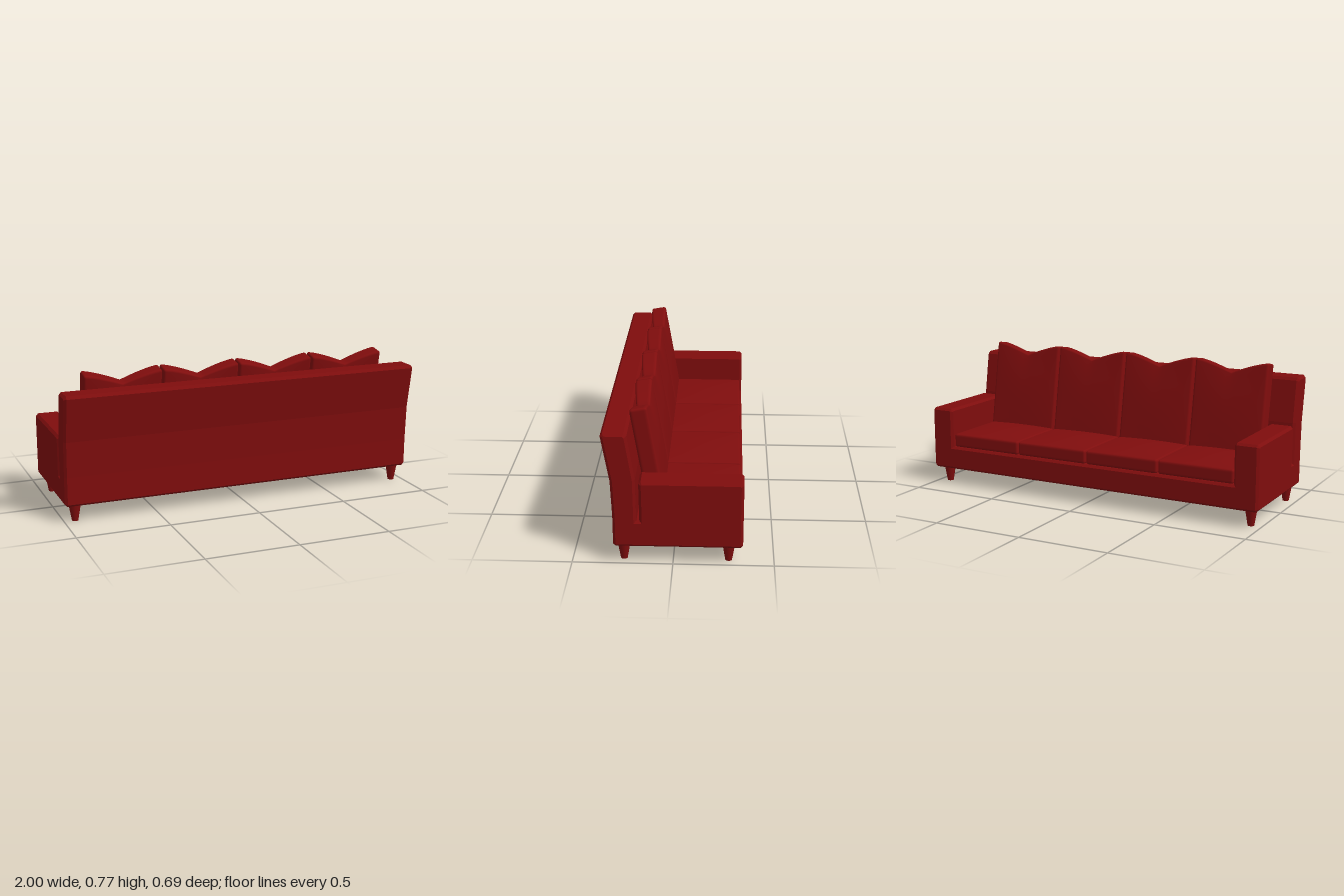
import * as THREE from 'three';
import { mergeVertices } from 'three/addons/utils/BufferGeometryUtils.js';

const fabric = new THREE.MeshStandardMaterial({ color: 0x7f0d0d });

// Side outlines as [z, y] points
const backRear = [[0.283, 0.09], [0.295, 0.102], [0.296, 0.25], [0.305, 0.44], [0.347, 0.675],
  [0.335, 0.69], [0.233, 0.69], [0.22, 0.675], [0.183, 0.45]];
const frontFoot = [[-0.345, 0.102], [-0.333, 0.09]];
const frameOutline = [...backRear, [0.178, 0.22], [-0.333, 0.22], [-0.345, 0.208], ...frontFoot];
const sideOutline = [...backRear, [0.179, 0.23], [0.164, 0.23], [0.167, 0.428], [0.155, 0.44],
  [-0.333, 0.44], [-0.345, 0.428], ...frontFoot];

// Extrude a side outline across x, from x0 to x1, with optional bevelled ends
function extrudeAcross(points, x0, x1, bevel = 0) {
  const shape = new THREE.Shape(points.map(([z, y]) => new THREE.Vector2(z, y)));
  const geo = new THREE.ExtrudeGeometry(shape, {
    depth: x1 - x0 - 2 * bevel, bevelEnabled: bevel > 0, bevelThickness: bevel,
    bevelSize: bevel, bevelOffset: -bevel, bevelSegments: 1,
  });
  geo.rotateY(-Math.PI / 2);
  geo.translate(x1 - bevel, 0, 0);
  return geo;
}

// Rounded, finely divided box standing on y = 0, shaped further by a rule
function softBox(w, h, d, r, n, deform) {
  let geo = new THREE.BoxGeometry(1, 1, 1, n, n, n);
  geo.deleteAttribute('uv');
  geo.deleteAttribute('normal');
  geo = mergeVertices(geo);
  const pos = geo.attributes.position;
  const p = new THREE.Vector3(), core = new THREE.Vector3();
  // the outer three rows of each face fall inside the rounded edge
  const spread = (t, size) => {
    const i = Math.round((t + 0.5) * n), k = Math.min(i, n - i);
    const half = size / 2;
    if (k <= 3) return Math.sign(t) * (half - r * [0, 0.25, 0.6, 1][k]);
    return ((i - n / 2) / (n / 2 - 3)) * (half - r);
  };
  for (let i = 0; i < pos.count; i++) {
    p.set(spread(pos.getX(i), w), spread(pos.getY(i), h), spread(pos.getZ(i), d));
    core.set(
      THREE.MathUtils.clamp(p.x, r - w / 2, w / 2 - r),
      THREE.MathUtils.clamp(p.y, r - h / 2, h / 2 - r),
      THREE.MathUtils.clamp(p.z, r - d / 2, d / 2 - r));
    p.sub(core);
    if (p.lengthSq() > 0) p.setLength(r);
    p.add(core);
    p.y += h / 2;
    deform(p);
    pos.setXYZ(i, p.x, p.y, p.z);
  }
  geo.computeVertexNormals();
  return geo;
}

export function createModel() {
  const sofa = new THREE.Group();
  sofa.name = 'sofa';
  const add = (name, geo, x = 0, y = 0, z = 0) => {
    const mesh = new THREE.Mesh(geo, fabric);
    mesh.name = name;
    mesh.position.set(x, y, z);
    sofa.add(mesh);
    return mesh;
  };

  // Base and backrest in one piece, then the slotted side panels with the arms
  add('frame', extrudeAcross(frameOutline, -0.987, 0.987));
  add('leftArm', extrudeAcross(sideOutline, 0.866, 1, 0.013));
  add('rightArm', extrudeAcross(sideOutline, -1, -0.866, 0.013));

  // Seat cushion with a slight crown
  const cw = 0.424, seatDepth = 0.44;
  const seatGeo = softBox(cw, 0.075, seatDepth, 0.012, 16, (p) => {
    const crown = (1 - (2 * p.x / cw) ** 2) * (1 - (2 * p.z / seatDepth) ** 2);
    if (p.y > 0.04) p.y += 0.012 * crown;
  });

  // Back cushion with a V-shaped dent in the top edge and a softly bulging face
  const bh = 0.5;
  const backGeo = softBox(cw, bh, 0.088, 0.014, 20, (p) => {
    const u = Math.min(1, Math.abs(2 * p.x / cw)), t = p.y / bh;
    const dent = Math.pow(1 - u, 1.35);
    p.z += Math.sign(p.z) * 0.008 * (1 - u * u) * Math.sin(Math.PI * t);
    p.z *= 1 - 0.25 * dent * t ** 4;
    p.y -= 0.064 * dent * t ** 3;
  });

  for (let i = 0; i < 4; i++) {
    const x = (i - 1.5) * 0.432;
    add('seatCushion', seatGeo, x, 0.22, -0.332 + seatDepth / 2);
    add('backCushion', backGeo, x, 0.272, 0.09).rotation.x = 0.172;
  }

  // Tapered legs
  const legGeo = new THREE.CylinderGeometry(0.033, 0.017, 0.095, 20);
  for (const x of [-0.94, 0.94]) {
    add('backLeg', legGeo, x, 0.0475, 0.245);
    add('frontLeg', legGeo, x, 0.0475, -0.275);
  }
  return sofa;
}
